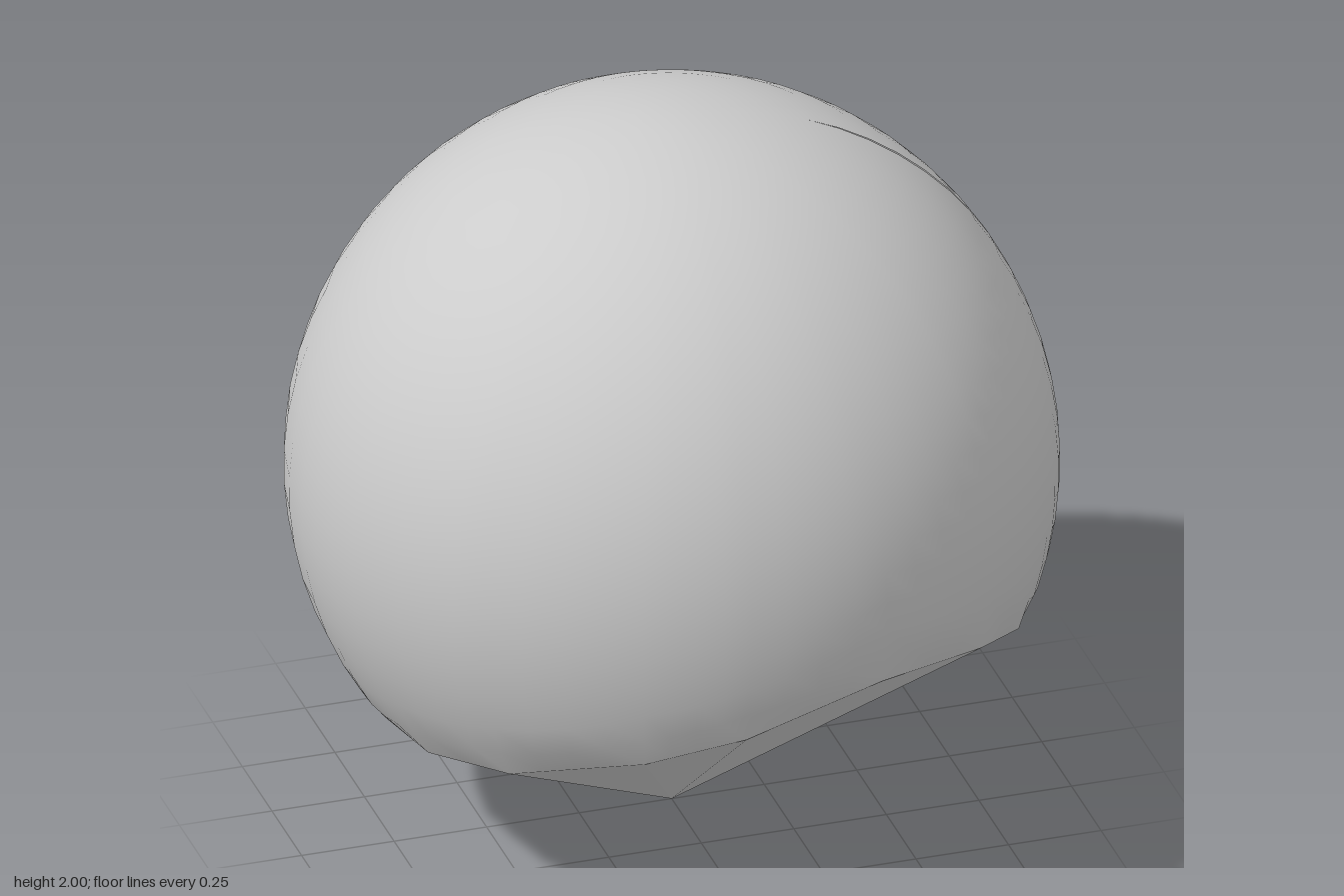
import * as THREE from 'three';

const rad = Math.PI / 180;
const SUB = 4;   // columns between two rim corners
const ROWS = 22; // rows from the top pole down to the rim

// Rim corners around the ball: azimuth in degrees (0 = +x, 90 = +z), height,
// and an optional bulge corner on the underside panel below it.
const RIM = [
  [0, 0.53], [18, 0.59], [36, 0.66], [52, 0.74], [74, 0.79], [96, 0.68],
  [112, 0.6], [137, 0.48], [158, 0.42], [180, 0.37],
  [210, 0.43, [-0.42, 0.13, -0.24]], [230, 0.48], [254, 0.55], [270, 0.53],
  [281, 0.58], [299, 0.61], [327, 0.57], [349, 0.54, [0.68, 0.28, -0.13]], [360, 0.53],
];

// Point on the unit ball standing on y = 0
function onBall(azimuth, polar) {
  const r = Math.sin(polar);
  return new THREE.Vector3(r * Math.cos(azimuth), 1 + Math.cos(polar), r * Math.sin(azimuth));
}

// Surface from rows of points; every row runs around the ball
function skin(rows) {
  const n = rows[0].length;
  const index = [];
  for (let i = 0; i < rows.length - 1; i++) {
    for (let j = 0; j < n - 1; j++) {
      const a = i * n + j, b = a + 1, c = a + n, d = c + 1;
      if (i > 0) index.push(a, b, c);
      if (i < rows.length - 2 || !rows.closed) index.push(b, d, c);
    }
  }
  const geometry = new THREE.BufferGeometry().setFromPoints(rows.flat());
  geometry.setIndex(index);
  return geometry;
}

const corners = RIM.map(([deg, y]) => onBall(deg * rad, Math.acos(y - 1)));

// Smooth dome from the pole to the cornered rim
function domeGeometry() {
  const rim = [];
  corners.slice(0, -1).forEach((p, k) => {
    for (let s = 0; s < SUB; s++) rim.push(p.clone().lerp(corners[k + 1], s / SUB));
  });
  rim.push(corners[corners.length - 1].clone());

  const rows = [];
  for (let i = 0; i <= ROWS; i++) {
    rows.push(rim.map((p, j) => {
      if (i === ROWS) return p;
      const azimuth = j === rim.length - 1 ? 2 * Math.PI : (Math.atan2(p.z, p.x) + 2 * Math.PI) % (2 * Math.PI);
      const polar = Math.acos((p.y - 1) / p.distanceTo(new THREE.Vector3(0, 1, 0))) * i / ROWS;
      const q = onBall(azimuth, polar);
      // narrow slit along the seam on the +x side
      if (j === 0 && q.y > 1.5 && q.y < 1.92) {
        q.z += 0.012 * Math.sin(Math.PI * (q.y - 1.5) / 0.42);
      }
      return q;
    }));
  }
  const geometry = skin(rows);
  geometry.computeVertexNormals();

  // Match the normals where the seam columns meet, and at the pole
  const normal = geometry.attributes.normal, n = rim.length;
  const a = new THREE.Vector3(), b = new THREE.Vector3();
  for (let i = 1; i <= ROWS; i++) {
    a.fromBufferAttribute(normal, i * n);
    b.fromBufferAttribute(normal, i * n + n - 1);
    a.add(b).normalize();
    normal.setXYZ(i * n, a.x, a.y, a.z);
    normal.setXYZ(i * n + n - 1, a.x, a.y, a.z);
  }
  for (let j = 0; j < n; j++) normal.setXYZ(j, 0, 1, 0);
  return geometry;
}

// Flat panels running from the rim down to the bottom point
function undersideGeometry() {
  const middle = RIM.map(([, , bulge], k) =>
    bulge ? new THREE.Vector3(...bulge) : corners[k].clone().multiplyScalar(0.5));
  const bottom = RIM.map(() => new THREE.Vector3(0, 0, 0));
  const index = [];
  const n = RIM.length;
  for (let j = 0; j < n - 1; j++) {
    index.push(j, j + 1, n + j, j + 1, n + j + 1, n + j, n + j, n + j + 1, 2 * n + j);
  }
  const geometry = new THREE.BufferGeometry().setFromPoints([...corners, ...middle, ...bottom]);
  geometry.setIndex(index);
  geometry.computeVertexNormals();
  return geometry;
}

export function createModel() {
  const model = new THREE.Group();
  model.name = 'ball';
  const part = (name, geometry, flatShading) => {
    const mesh = new THREE.Mesh(geometry, new THREE.MeshStandardMaterial({
      color: 0xcccccc, flatShading, side: THREE.DoubleSide,
    }));
    mesh.name = name;
    model.add(mesh);
  };
  part('dome', domeGeometry(), false);
  part('underside', undersideGeometry(), true);
  return model;
}
